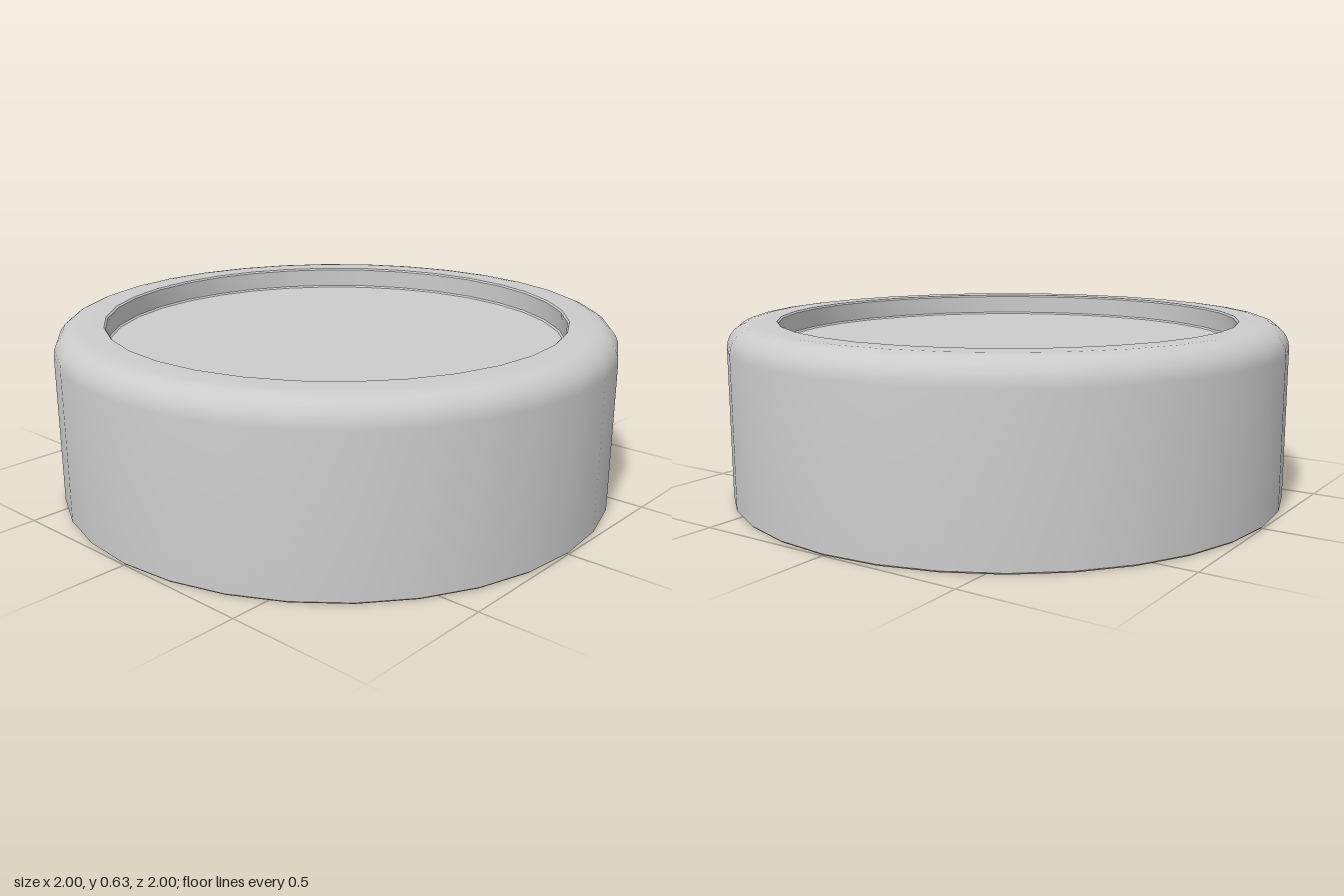
import * as THREE from 'three';
import { toCreasedNormals } from 'three/addons/utils/BufferGeometryUtils.js';

const SEGMENTS = 32;
const RADIUS = 1, HEIGHT = 0.63, FILLET = 0.09;
const RECESS_RADIUS = 0.82, RECESS_DEPTH = 0.08, BEVEL = 0.006;

export function createModel() {
  const group = new THREE.Group();
  group.name = 'roundCap';
  const material = new THREE.MeshStandardMaterial({ color: 0xcccccc });
  const floor = HEIGHT - RECESS_DEPTH;

  // Underside and outer wall
  const profile = [[0, 0], [RADIUS - BEVEL, 0], [RADIUS, BEVEL]];

  // Rounded shoulder
  const steps = 6;
  for (let i = 0; i <= steps; i++) {
    const a = (i / steps) * Math.PI / 2;
    profile.push([
      RADIUS - FILLET + FILLET * Math.cos(a),
      HEIGHT - FILLET + FILLET * Math.sin(a),
    ]);
  }

  // Flat rim, recess wall with fine bevels, recess floor
  profile.push(
    [RECESS_RADIUS + BEVEL, HEIGHT],
    [RECESS_RADIUS, HEIGHT - BEVEL],
    [RECESS_RADIUS, floor + BEVEL],
    [RECESS_RADIUS - BEVEL, floor],
    [0, floor],
  );

  const lathe = new THREE.LatheGeometry(profile.map(([x, y]) => new THREE.Vector2(x, y)), SEGMENTS);
  const body = new THREE.Mesh(toCreasedNormals(lathe, 0.5), material);
  body.name = 'recessedBody';
  group.add(body);
  return group;
}
